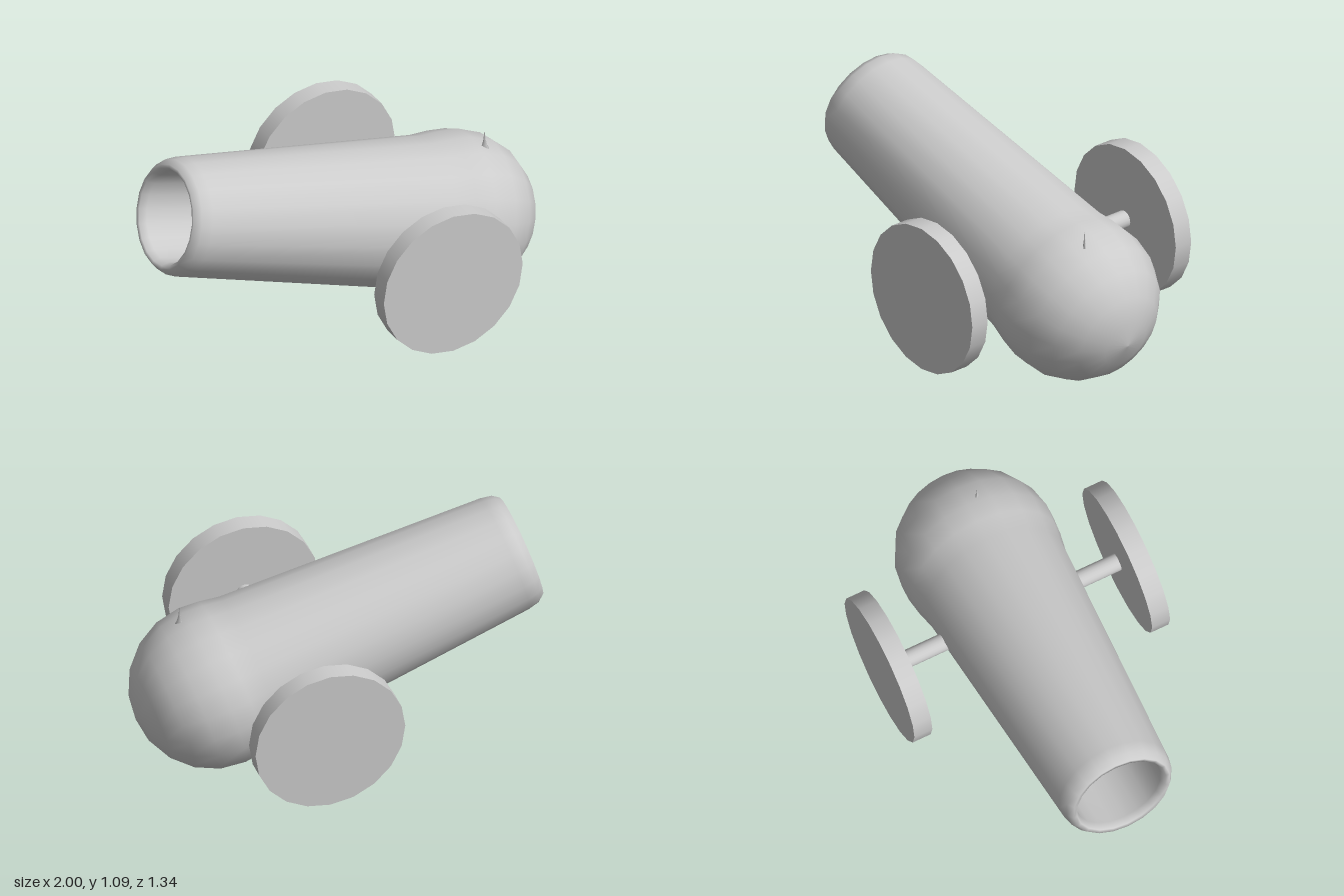
import * as THREE from 'three';

const SIDES = 20;

export function createModel() {
  const model = new THREE.Group();
  const material = new THREE.MeshStandardMaterial({ color: 0xcccccc });
  const add = (name, geometry, x, y, z) => {
    const mesh = new THREE.Mesh(geometry, material);
    mesh.name = name;
    mesh.position.set(x, y, z);
    model.add(mesh);
    return mesh;
  };

  // Barrel: round breech, tapering tube, rounded lip and hollow bore in one profile
  const profile = [];
  for (let i = 0; i <= 5; i++) {
    const a = (i / 5) * Math.PI / 2;
    profile.push(new THREE.Vector2(0.395 * Math.sin(a), -0.395 * Math.cos(a)));
  }
  for (const [r, t] of [
    [0.385, 0.1], [0.366, 0.2], [0.285, 1.51], [0.274, 1.565], [0.25, 1.597],
    [0.232, 1.594], [0.218, 1.56], [0.218, 0.5], [0, 0.5],
  ]) profile.push(new THREE.Vector2(r, t));
  const barrel = add('barrel', new THREE.LatheGeometry(profile, SIDES), 0.6, 0.4, 0.015);
  barrel.rotation.z = THREE.MathUtils.degToRad(74.1);

  // Axle through the barrel
  const axle = new THREE.CylinderGeometry(0.043, 0.043, 1.2, SIDES).rotateX(Math.PI / 2);
  add('axle', axle, 0.245, 0.467, 0);

  // Solid disc wheels
  const wheel = new THREE.CylinderGeometry(0.372, 0.372, 0.094, SIDES).rotateX(Math.PI / 2);
  add('frontWheel', wheel, 0.25, 0.467, 0.62);
  add('backWheel', wheel, 0.25, 0.467, -0.623);

  // Fuse: thin flared spike on the breech
  const fuseProfile = [[0.03, -0.02], [0.014, 0.012], [0.006, 0.04], [0, 0.093]]
    .map(([r, y]) => new THREE.Vector2(r, y));
  const fuse = add('fuse', new THREE.LatheGeometry(fuseProfile, 6), 0.74, 0.752, 0.08);
  fuse.scale.z = 0.4;
  fuse.rotation.y = -0.65;

  return model;
}
